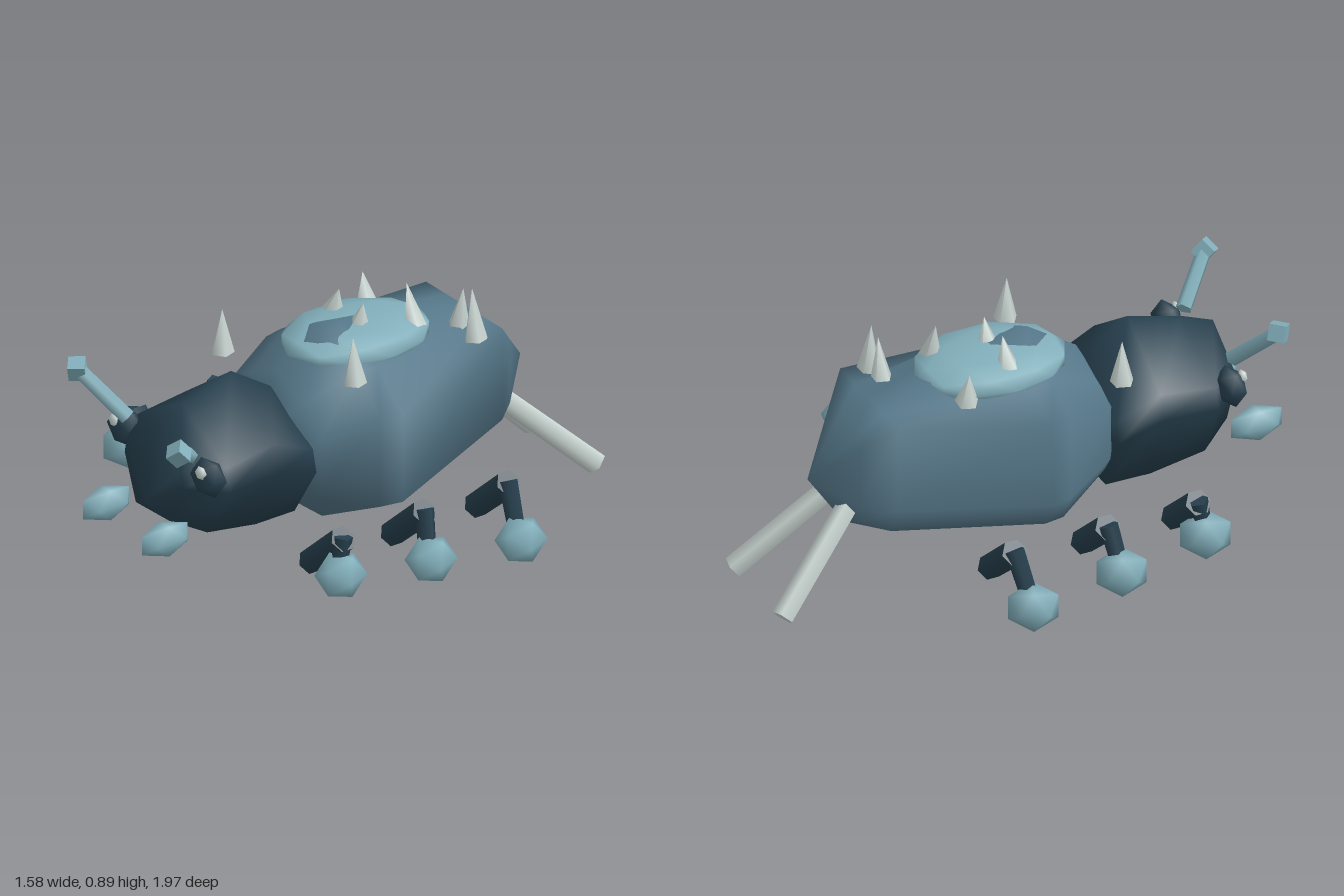
import * as THREE from 'three';
import { mergeVertices } from 'three/addons/utils/BufferGeometryUtils.js';

const mat = (name, color) => {
  const m = new THREE.MeshStandardMaterial({ color });
  m.name = name;
  return m;
};

// Weld a low-poly shape so that its shading is smooth
function smooth(geo) {
  geo.deleteAttribute('uv');
  geo.deleteAttribute('normal');
  const g = mergeVertices(geo, 1e-4);
  g.computeVertexNormals();
  return g;
}

// Skin over cross-sections, front to back: [section, z, half width, bottom, top]
function loft(rings) {
  const pos = [], idx = [], n = rings[0][0].length;
  for (const [section, z, hx, lo, hi] of rings)
    for (const [u, v] of section) pos.push(u * hx, lo + (hi - lo) * v, z);
  for (let i = 0; i < rings.length - 1; i++)
    for (let j = 0; j < n; j++) {
      const a = i * n + j, b = i * n + (j + 1) % n, d = a + n, c = b + n;
      idx.push(a, d, c, a, c, b);
    }
  const g = new THREE.BufferGeometry();
  g.setAttribute('position', new THREE.Float32BufferAttribute(pos, 3));
  g.setIndex(idx);
  return smooth(g);
}

export function createModel() {
  const root = new THREE.Group();
  root.name = 'beetle';
  const shell = mat('slate blue shell', 0x56788a);
  const dark = mat('dark navy', 0x263f4d);
  const light = mat('light teal', 0x82afbb);
  const pale = mat('pale bone', 0xcad6d2);

  const add = (name, geo, material) => {
    const m = new THREE.Mesh(geo, material);
    m.name = name;
    root.add(m);
    return m;
  };
  const blob = (name, material, p, r, turn = 0, detail = 0) => {
    const m = add(name, smooth(new THREE.IcosahedronGeometry(1, detail)), material);
    m.position.set(...p);
    m.scale.set(...r);
    m.rotation.y = turn;
  };
  const rod = (name, material, from, to, r0, r1, sides = 6) => {
    const a = new THREE.Vector3(...from), b = new THREE.Vector3(...to);
    const m = add(name, new THREE.CylinderGeometry(r1, r0, a.distanceTo(b), sides), material);
    m.position.copy(a).lerp(b, 0.5);
    m.quaternion.setFromUnitVectors(new THREE.Vector3(0, 1, 0), b.sub(a).normalize());
  };

  // Abdomen: ridged in the middle, flat-topped and square behind, pointed rear
  const ridged = [[1, 0.23], [1, 0.69], [0.6, 0.86], [0, 1], [-0.6, 0.86],
    [-0.96, 0.75], [-1, 0.32], [-0.82, 0.17], [0, 0]];
  const square = [[1, 0.32], [1, 1], [0.5, 1], [0, 1], [-0.5, 1],
    [-1, 1], [-1, 0.35], [-0.75, 0.14], [0, 0]];
  add('abdomen', loft([
    [ridged, 0.34, 0, 0.45, 0.45], [ridged, 0.34, 0.15, 0.33, 0.56],
    [ridged, 0.27, 0.26, 0.22, 0.69], [ridged, 0.08, 0.335, 0.07, 0.82],
    [ridged, 0, 0.36, 0.08, 0.81], [square, -0.53, 0.22, 0.18, 0.70],
    [square, -0.63, 0.13, 0.23, 0.59], [square, -0.77, 0, 0.44, 0.44],
  ]), shell);

  // Raised patch on the back
  blob('backPatch', light, [-0.01, 0.727, -0.07], [0.22, 0.069, 0.29], 0, 1);

  // Head, widest above the middle
  const skull = [[1, 0.48], [0.92, 0.67], [0, 1], [-0.92, 0.67], [-1, 0.5],
    [-0.62, 0], [0.52, 0.02]];
  add('head', loft([
    [skull, 0.84, 0, 0.36, 0.36], [skull, 0.8, 0.17, 0.3, 0.64],
    [skull, 0.68, 0.28, 0.24, 0.69], [skull, 0.47, 0.275, 0.205, 0.75],
    [skull, 0.3, 0.265, 0.205, 0.64], [skull, 0.24, 0, 0.42, 0.42],
  ]), dark);

  // Paired face parts and tails
  for (const s of [1, -1]) {
    blob('eye', dark, [s * 0.24, 0.52, 0.745], [0.08, 0.073, 0.055]);
    blob('eyeGlint', pale, [s * 0.25, 0.553, 0.785], [0.025, 0.026, 0.018]);
    blob('mandible', light, [s * 0.17, 0.295, 0.88], [0.055, 0.066, 0.115]);
    const tip = s > 0 ? [0.325, 0.705, 0.935] : [-0.33, 0.75, 0.885];
    rod('antennaStalk', light, [s * 0.18, 0.59, 0.78], tip, 0.029, 0.027, 5);
    const knob = add('antennaTip', new THREE.BoxGeometry(0.06, 0.06, 0.06), light);
    knob.position.set(...tip);
    knob.rotation.set(0.5, Math.PI / 4, s * 0.3);
    rod('tail', pale, [s * 0.06, 0.35, -0.63], [s * 0.185, 0.035, -0.96], 0.04, 0.042, 5);
  }

  // Three pairs of legs, detached from the body
  const legs = [[-0.275, 0.7, 0.165, -0.255], [0.085, 0.665, 0.185, 0.105], [0.435, 0.615, 0.21, 0.455]];
  for (const [z, fx, fy, fz] of legs)
    for (const s of [1, -1]) {
      rod('upperLeg', dark, [s * 0.41, 0.17, z], [s * 0.6, 0.335, z], 0.046, 0.048);
      rod('lowerLeg', dark, [s * 0.6, 0.345, z], [s * (fx - 0.02), fy + 0.02, fz], 0.036, 0.032, 5);
      blob('foot', light, [s * fx, fy, fz], [0.088, 0.087, 0.102], s * 0.4);
    }

  // Spikes scattered over the back: base x, z, base y, tip x, tip y
  const spikes = [[-0.26, 0.315, 0.67, -0.26, 0.835], [0.25, 0.125, 0.7, 0.24, 0.87],
    [-0.13, -0.06, 0.76, -0.09, 0.87], [0.02, -0.06, 0.76, 0.05, 0.87],
    [-0.19, -0.25, 0.71, -0.21, 0.83], [0.09, -0.25, 0.74, 0.045, 0.89],
    [0.1, -0.43, 0.68, 0.13, 0.85], [0.2, -0.43, 0.68, 0.18, 0.87]];
  for (const [x, z, lo, tx, hi] of spikes) rod('spike', pale, [x, lo, z], [tx, hi, z], 0.043, 0, 5);
  return root;
}
